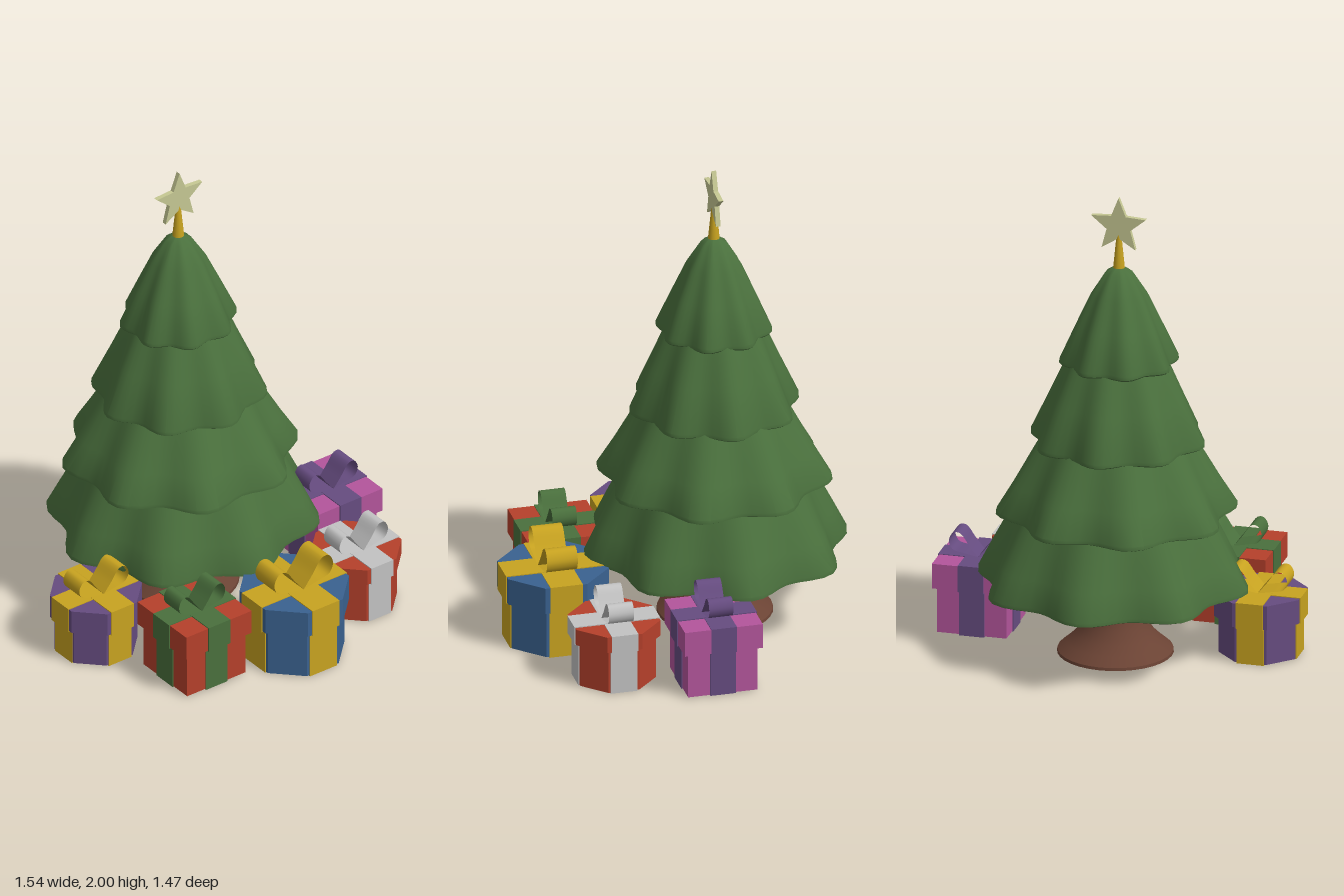
import * as THREE from 'three';
import { toCreasedNormals } from 'three/addons/utils/BufferGeometryUtils.js';

const mat = (name, color, extra = {}) => new THREE.MeshStandardMaterial({ name, color, ...extra });
const double = { side: THREE.DoubleSide };
const M = {
  green: mat('pine green', 0x4a703d, double),
  brown: mat('bark brown', 0x6b4334),
  gold: mat('gold', 0xc8a320, double),
  star: mat('pale yellow', 0xc6c893),
  red: mat('red', 0xb5402b),
  blue: mat('blue', 0x3a6290),
  purple: mat('purple', 0x664c80, double),
  magenta: mat('magenta', 0xb3559b),
  silver: mat('silver', 0xc2c2c2, double),
};
const TREE_Z = -0.19;
const V2 = (p) => new THREE.Vector2(p[0], p[1]);

function add(parent, name, geometry, material, x = 0, y = 0, z = 0) {
  const mesh = new THREE.Mesh(geometry, material);
  mesh.name = name;
  mesh.position.set(x, y, z);
  parent.add(mesh);
  return mesh;
}

// Skirt of branches: a lathe whose radius swells into eight lobes toward the hem
function tierGeometry(y0, r, upper, phase) {
  const top = upper[upper.length - 1][1];
  const profile = [[0, y0 + 0.03], [r * 0.9, y0 + 0.012], [r * 0.975, y0], [r, y0 + 0.006], [r, y0 + 0.022], ...upper];
  const geo = new THREE.LatheGeometry(profile.map(V2), 64);
  const pos = geo.attributes.position;
  for (let i = 0; i < pos.count; i++) {
    const x = pos.getX(i), y = pos.getY(i), z = pos.getZ(i);
    const t = Math.min(1, Math.max(0, (y - y0) / (top - y0)));
    const k = 1 + 0.07 * (1 - 0.6 * t) * Math.cos(8 * Math.atan2(x, z) + phase);
    pos.setXYZ(i, x * k * 1.03, y, z * k);
  }
  geo.deleteAttribute('uv');
  return toCreasedNormals(geo, 0.6);
}

// Octagonal or square block with flat faces toward the axes
function prism(sides, half, height) {
  const geo = new THREE.CylinderGeometry(half / Math.cos(Math.PI / sides), half / Math.cos(Math.PI / sides), height, sides);
  geo.rotateY(Math.PI / sides);
  return toCreasedNormals(geo, 0.3);
}

// One ribbon loop of a bow: a strip bent along a teardrop
function bowLoop(halfWidth, height, depth, side) {
  const pts = [[0, 0], [0.3, 0.45], [0.62, 0.95], [0.85, 0.95], [1, 0.6], [0.88, 0.24], [0.5, 0.12], [0, 0]];
  const curve = new THREE.CatmullRomCurve3(
    pts.map(([x, y]) => new THREE.Vector3(side * x * halfWidth, y * height, 0)));
  const geo = new THREE.PlaneGeometry(1, 1, 1, 28);
  const pos = geo.attributes.position, uv = geo.attributes.uv;
  for (let i = 0; i < pos.count; i++) {
    const p = curve.getPoint(uv.getY(i));
    pos.setXYZ(i, p.x, p.y, (uv.getX(i) - 0.5) * depth);
  }
  geo.computeVertexNormals();
  return geo;
}

function createGift({ name, x, z, sides, half, top, lid, ribbon, bow, bowTop, paper, trim }) {
  const gift = new THREE.Group();
  gift.name = name;
  gift.position.set(x, 0, z);
  const lidY = top - lid, inner = half - 0.018, e = 0.004;
  add(gift, 'giftBody', prism(sides, inner, lidY - e), paper, 0, (lidY + e) / 2, 0);
  add(gift, 'giftLid', prism(sides, half, lid), paper, 0, top - lid / 2, 0);
  // Crossed ribbons wrap the body and the lid
  for (const turn of [0, Math.PI / 2]) {
    const lift = turn ? 0.001 : 0;
    const low = add(gift, 'bodyRibbon',
      new THREE.BoxGeometry(ribbon, lidY - lift, 2 * (inner + e)), trim, 0, (lidY + lift) / 2, 0);
    const high = add(gift, 'lidRibbon',
      new THREE.BoxGeometry(ribbon, lid + 2 * e - lift, 2 * (half + e)), trim, 0, top - lid / 2 - lift / 2, 0);
    low.rotation.y = high.rotation.y = turn;
  }
  for (const side of [-1, 1])
    add(gift, 'bowLoop', bowLoop(bow, bowTop - top, ribbon * 0.95, side), trim, 0, top + e, 0);
  return gift;
}

export function createModel() {
  const model = new THREE.Group();
  model.name = 'treeWithGifts';

  // Tree
  const tree = new THREE.Group();
  tree.name = 'tree';
  tree.position.z = TREE_Z;
  model.add(tree);

  const trunk = [[0, 0.01], [0.24, 0.01], [0.238, 0.022], [0.2, 0.055], [0.165, 0.09], [0.135, 0.135],
    [0.114, 0.19], [0.105, 0.25], [0.105, 0.36]];
  add(tree, 'trunk', toCreasedNormals(new THREE.LatheGeometry(trunk.map(V2), 32), 0.6), M.brown, -0.02);

  const tiers = [
    { x: -0.01, y: 0.31, r: 0.52, upper: [[0.475, 0.44], [0.395, 0.62], [0.36, 0.69]] },
    { x: -0.025, y: 0.625, r: 0.455, upper: [[0.395, 0.76], [0.31, 0.93], [0.27, 1.0]] },
    { x: -0.03, y: 0.935, r: 0.335, upper: [[0.265, 1.13], [0.205, 1.28], [0.17, 1.35]] },
    { x: -0.035, y: 1.28, r: 0.225, upper: [[0.165, 1.45], [0.11, 1.58], [0.053, 1.675], [0.025, 1.695], [0, 1.697]] },
  ];
  tiers.forEach((t, i) =>
    add(tree, 'branchTier', tierGeometry(t.y, t.r, t.upper, (i % 2) * Math.PI), M.green, t.x));

  // Spike and star on the tip
  add(tree, 'starSpike', new THREE.CylinderGeometry(0.01, 0.026, 0.16, 12), M.gold, -0.035, 1.76);
  const star = new THREE.Shape();
  for (let i = 0; i < 10; i++) {
    const r = i % 2 ? 0.053 : 0.122, a = Math.PI / 2 + i * Math.PI / 5;
    star[i ? 'lineTo' : 'moveTo'](r * Math.cos(a), r * Math.sin(a));
  }
  star.closePath();
  add(tree, 'star', new THREE.ExtrudeGeometry(star, { depth: 0.02, bevelEnabled: false }), M.star, -0.035, 1.878, -0.01);

  // Gifts around the trunk
  const gifts = [
    { name: 'blueGift', x: 0.035, z: 0.51, sides: 8, half: 0.214, top: 0.325, lid: 0.115,
      ribbon: 0.137, bow: 0.15, bowTop: 0.45, paper: M.blue, trim: M.gold },
    { name: 'redSquareGift', x: -0.38, z: 0.382, sides: 4, half: 0.167, top: 0.308, lid: 0.108,
      ribbon: 0.11, bow: 0.118, bowTop: 0.41, paper: M.red, trim: M.green },
    { name: 'purpleGift', x: -0.59, z: -0.012, sides: 8, half: 0.18, top: 0.268, lid: 0.105,
      ribbon: 0.115, bow: 0.126, bowTop: 0.37, paper: M.purple, trim: M.gold },
    { name: 'redGift', x: 0.46, z: 0.365, sides: 8, half: 0.178, top: 0.265, lid: 0.07,
      ribbon: 0.112, bow: 0.124, bowTop: 0.37, paper: M.red, trim: M.silver },
    { name: 'magentaGift', x: 0.597, z: -0.022, sides: 4, half: 0.165, top: 0.308, lid: 0.108,
      ribbon: 0.108, bow: 0.124, bowTop: 0.41, paper: M.magenta, trim: M.purple },
  ];
  gifts.forEach((g) => model.add(createGift(g)));
  return model;
}
